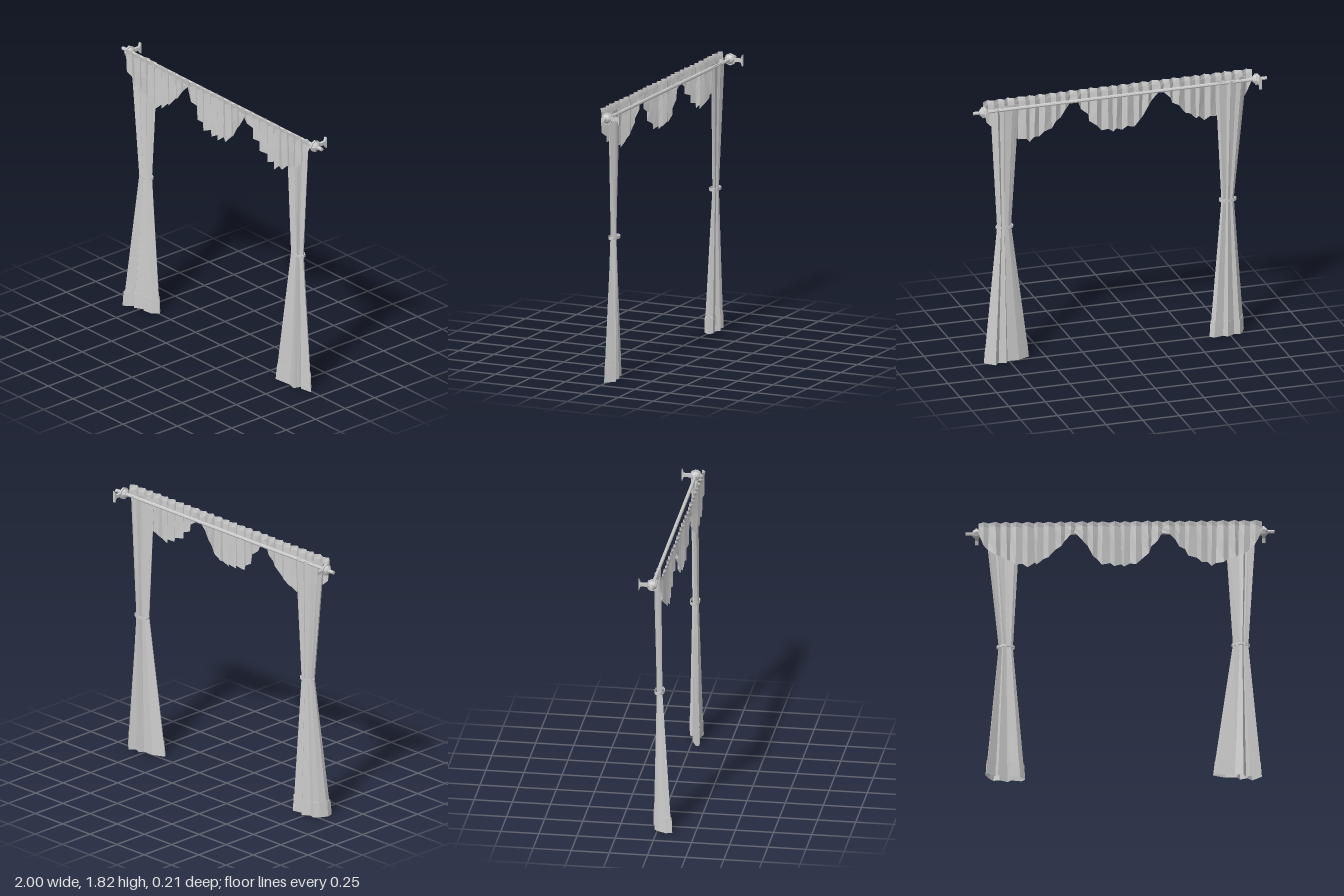
import * as THREE from 'three';

const cloth = new THREE.MeshStandardMaterial({ color: 0xcccccc, flatShading: true, side: THREE.DoubleSide });
const metal = new THREE.MeshStandardMaterial({ color: 0xcccccc, flatShading: true });

function mesh(name, geometry, material, x = 0, y = 0, z = 0) {
  const m = new THREE.Mesh(geometry, material);
  m.name = name;
  m.position.set(x, y, z);
  return m;
}

// Skin a stack of rows, each an equal-length list of [x, y, z]
function loft(rows, closed) {
  const n = rows[0].length, index = [];
  for (let r = 0; r < rows.length - 1; r++) {
    for (let i = 0; i < (closed ? n : n - 1); i++) {
      const a = r * n + i, b = r * n + (i + 1) % n;
      index.push(a, b, a + n, b, b + n, a + n);
    }
  }
  const g = new THREE.BufferGeometry();
  g.setAttribute('position', new THREE.Float32BufferAttribute(rows.flat(2), 3));
  g.setIndex(index);
  g.computeVertexNormals();
  return g;
}

// Curtain: a folded outline (x in -1..1, z in units) scaled at each height
function curtain(side, fold, levels, waist) {
  const g = new THREE.Group();
  g.name = side + 'Curtain';
  const rows = levels.map(([y, cx, half, zScale, zOff]) =>
    fold.map(([u, z]) => [cx + u * half, y, zOff + z * zScale]));
  g.add(mesh(side + 'Drape', loft(rows, true), cloth));

  // Tieback: a flat oval band round the waist
  const profile = [[0.9, -0.009], [1, -0.009], [1, 0.009], [0.9, 0.009], [0.9, -0.009]]
    .map(p => new THREE.Vector2(...p));
  const band = mesh(side + 'Tieback', new THREE.LatheGeometry(profile, 12), cloth, waist, 0.943, 0.002);
  band.scale.set(0.06, 1, 0.034);
  g.add(band);
  return g;
}

// Height of the scalloped valance edge at x: three swags
const scallop = [[0, 1.5], [0.1, 1.515], [0.16, 1.55], [0.2, 1.62], [0.25, 1.69], [0.3, 1.76],
  [0.35, 1.68], [0.42, 1.61], [0.5, 1.54], [0.6, 1.5], [0.7, 1.535], [0.84, 1.6], [0.88, 1.66], [0.93, 1.76]];
function edgeHeight(x) {
  const a = Math.min(Math.abs(x), 0.929);
  const i = scallop.findIndex(p => p[0] > a);
  const [x0, y0] = scallop[i - 1], [x1, y1] = scallop[i];
  return y0 + (y1 - y0) * (a - x0) / (x1 - x0);
}

function valance() {
  const count = 53, top = [], header = [], middle = [], hem = [];
  for (let i = 0; i < count; i++) {
    const t = i / (count - 1) * 2 - 1;
    const vary = Math.sin(i * 2.7) * 0.5 + Math.sin(i * 5.1) * 0.5;
    const x = t * 0.915 + vary * 0.007;
    const z = (i % 2 ? 1 : -1) * (0.012 + 0.004 * vary);
    const end = edgeHeight(x) + (i % 2 ? -0.008 : 0.016) + vary * 0.006;
    top.push([x, 1.815, 0.044 + z]);
    header.push([x, 1.785, 0.039 + z * 0.8]);
    middle.push([x + vary * 0.004, (1.785 + end) / 2, 0.038 + z]);
    hem.push([x + vary * 0.008, Math.min(end, 1.77), 0.037 + z * 0.9]);
  }
  return mesh('valance', loft([hem, middle, header, top], false), cloth);
}

export function createModel() {
  const model = new THREE.Group();
  model.name = 'curtainSet';

  // Rod
  const rodY = 1.763, rodZ = -0.016;
  const rod = mesh('rod', new THREE.CylinderGeometry(0.012, 0.012, 2, 8), metal, 0, rodY, rodZ);
  rod.rotation.z = Math.PI / 2;
  model.add(rod);

  // Knobs and wall brackets
  const shape = new THREE.Shape([[0.03, -0.011], [0.078, -0.011], [0.088, -0.038], [0.091, -0.038],
    [0.091, 0.038], [0.088, 0.038], [0.078, 0.011], [0.03, 0.011]].map(p => new THREE.Vector2(...p)));
  for (const s of [-1, 1]) {
    const end = new THREE.Group();
    end.name = s > 0 ? 'leftRodEnd' : 'rightRodEnd';
    end.position.set(s * 0.93, rodY, rodZ);
    const knob = mesh('knob', new THREE.SphereGeometry(0.034, 8, 6), metal);
    knob.rotation.z = Math.PI / 2;
    knob.scale.y = 0.9;
    const collar = mesh('collar', new THREE.CylinderGeometry(0.04, 0.04, 0.014, 8), metal);
    collar.rotation.z = Math.PI / 2;
    const bracket = mesh('bracket',
      new THREE.ExtrudeGeometry(shape, { depth: 0.02, bevelEnabled: false }), metal, 0.01);
    bracket.rotation.y = Math.PI / 2;
    bracket.position.x = -0.01;
    end.add(knob, collar, bracket);
    model.add(end);
  }

  // Curtains: levels are [height, centre x, half width, depth scale, z offset]
  const rightFold = [[-1, 0.06], [-0.93, 0.1], [-0.5, 0.05], [-0.36, 0.065], [0.1, 0.03], [0.2, 0.045],
    [0.75, 0.035], [1, -0.005], [0.8, -0.03], [0.3, -0.015], [0.1, -0.04], [-0.3, -0.01], [-0.6, -0.02], [-0.8, 0.01]];
  model.add(curtain('right', rightFold, [
    [0, -0.742, 0.128, 1.03, 0], [0.105, -0.742, 0.122, 0.98, 0], [0.105, -0.742, 0.117, 0.9, 0],
    [0.943, -0.74, 0.046, 0.32, -0.005], [1.775, -0.76, 0.11, 0.45, -0.014]], -0.74));

  const leftFold = [[-1, 0.035], [-0.9, 0.055], [-0.1, 0.04], [0.25, 0.055], [0.35, 0.01], [0.5, 0.025],
    [1, 0.01], [0.6, -0.045], [0.4, -0.01], [0.1, -0.03], [0, 0], [-0.5, 0.0], [-0.8, 0.02]];
  model.add(curtain('left', leftFold, [
    [0, 0.762, 0.158, 1.03, 0], [0.105, 0.764, 0.148, 0.98, 0], [0.105, 0.764, 0.146, 0.93, 0],
    [0.943, 0.782, 0.05, 0.45, 0], [1.775, 0.78, 0.1, 0.55, -0.008]], 0.782));

  model.add(valance());
  return model;
}
